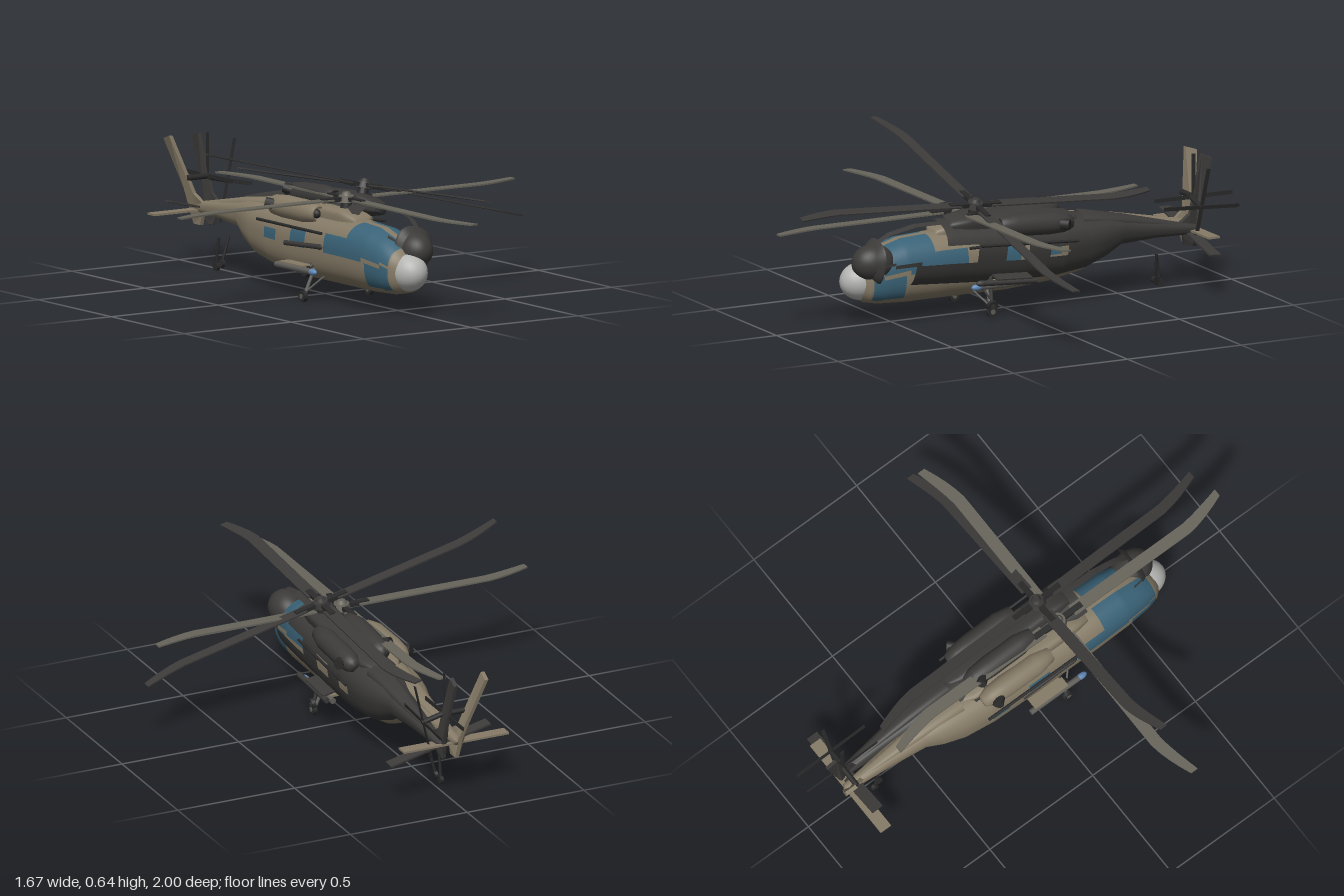
import * as THREE from 'three';

const mat = (name, color) => Object.assign(new THREE.MeshStandardMaterial({ color }), { name });

const mirror = [1, -1];

function add(group, name, geometry, material, x = 0, y = 0, z = 0) {
  const mesh = new THREE.Mesh(geometry, material);
  mesh.name = name;
  mesh.position.set(x, y, z);
  group.add(mesh);
  return mesh;
}

// Round bar between two points
function bar(group, name, a, b, radius, material) {
  const A = new THREE.Vector3(...a), B = new THREE.Vector3(...b), d = B.clone().sub(A);
  const mesh = add(group, name, new THREE.CylinderGeometry(radius, radius, d.length(), 10), material);
  mesh.position.copy(A).lerp(B, 0.5);
  mesh.quaternion.setFromUnitVectors(new THREE.Vector3(0, 1, 0), d.normalize());
  return mesh;
}

// Skin over sections [z, bottom, top, halfWidth], front to back.
// pick(x, y, z) gives the material index of a face, or -1 for an opening.
function loft(sections, cuts, pick, power = 2.5, n = 72) {
  const zs = [...new Set([...sections.map(s => s[0]), ...cuts])].sort((a, b) => b - a);
  const pos = [], faces = [[], []];
  for (const z of zs) {
    let k = 0;
    while (k < sections.length - 2 && z < sections[k + 1][0]) k++;
    const [a, b] = [sections[k], sections[k + 1]];
    const t = (z - a[0]) / (b[0] - a[0]);
    const [lo, hi, w] = [1, 2, 3].map(i => a[i] + (b[i] - a[i]) * t);
    for (let j = 0; j < n; j++) {
      const c = Math.cos(j / n * 2 * Math.PI), s = Math.sin(j / n * 2 * Math.PI);
      pos.push(w * Math.sign(c) * Math.abs(c) ** (2 / power),
        (lo + hi) / 2 + (hi - lo) / 2 * Math.sign(s) * Math.abs(s) ** (2 / power), z);
    }
  }
  for (let i = 0; i < zs.length - 1; i++) {
    for (let j = 0; j < n; j++) {
      const a = i * n + j, b = i * n + (j + 1) % n, c = a + n, d = b + n;
      const mid = k => (pos[a * 3 + k] + pos[b * 3 + k] + pos[c * 3 + k] + pos[d * 3 + k]) / 4;
      const m = pick ? pick(mid(0), mid(1), mid(2)) : 0;
      if (m >= 0) faces[m].push(a, c, b, b, c, d);
    }
  }
  const g = new THREE.BufferGeometry();
  g.setAttribute('position', new THREE.Float32BufferAttribute(pos, 3));
  g.setIndex([...faces[0], ...faces[1]]);
  g.addGroup(0, faces[0].length, 0);
  g.addGroup(faces[0].length, faces[1].length, 1);
  g.computeVertexNormals();
  return g;
}

const hull = [
  [0.645, 0.14, 0.2, 0.03], [0.64, 0.11, 0.22, 0.06], [0.61, 0.085, 0.255, 0.085],
  [0.56, 0.075, 0.29, 0.1], [0.45, 0.07, 0.322, 0.112], [0.3, 0.07, 0.33, 0.116],
  [0, 0.07, 0.33, 0.116], [-0.2, 0.085, 0.33, 0.114], [-0.33, 0.11, 0.325, 0.102],
  [-0.42, 0.15, 0.318, 0.08], [-0.49, 0.195, 0.305, 0.055], [-0.65, 0.21, 0.28, 0.036],
  [-0.84, 0.215, 0.252, 0.018], [-0.85, 0.23, 0.235, 0.002]];
const windowCuts = [0.6, 0.52, 0.47, 0.34, 0.2, 0.07, -0.03, -0.13, -0.21];

// Windscreen, chin panes and cabin windows
function isWindow(x, y, z) {
  const inside = (v, a, b) => v > a && v < b;
  if (inside(z, 0.34, 0.6)) {
    if (y > 0.205 && Math.abs(x) > 0.014) return true;
    if (z > 0.47 && inside(y, 0.1, 0.185) && Math.abs(x) > 0.04) return true;
  }
  return (inside(z, 0.2, 0.34) && inside(y, 0.205, 0.275))
    || (inside(z, -0.03, 0.07) && inside(y, 0.205, 0.265))
    || (inside(z, -0.21, -0.13) && inside(y, 0.2, 0.25));
}

// Main blade along +x with a swept tip
function bladeGeometry() {
  const g = new THREE.BoxGeometry(0.74, 0.006, 0.048, 16, 1, 1).translate(0.44, 0, 0);
  const p = g.attributes.position;
  for (let i = 0; i < p.count; i++) {
    const t = Math.max(0, (p.getX(i) - 0.62) / 0.19);
    p.setZ(i, p.getZ(i) * (1 - 0.35 * t * t) - 0.045 * t ** 1.4);
  }
  g.computeVertexNormals();
  return g;
}

// Fin with its upper part leaning to -x
function finGeometry() {
  const outline = [[-0.76, 0.25], [-0.79, 0.2], [-0.8, 0.165], [-0.845, 0.165], [-0.86, 0.25],
    [-0.912, 0.5], [-0.865, 0.515], [-0.815, 0.29]];
  const shape = new THREE.Shape(outline.map(([z, y]) => new THREE.Vector2(-z, y)));
  const g = new THREE.ExtrudeGeometry(shape, { depth: 0.016, bevelEnabled: false });
  g.translate(0, 0, -0.008).rotateY(Math.PI / 2);
  const p = g.attributes.position;
  for (let i = 0; i < p.count; i++) p.setX(i, p.getX(i) - 0.34 * Math.max(0, p.getY(i) - 0.22));
  g.computeVertexNormals();
  return g;
}

function helicopter(name, m) {
  const h = new THREE.Group();
  h.name = name;

  // Fuselage, with glass or open windows
  const opening = m.glass ? 1 : -1;
  const skin = loft(hull, windowCuts, (x, y, z) => isWindow(x, y, z) ? opening : 0);
  add(h, 'fuselage', skin, [m.body, m.glass || m.body]);
  add(h, 'noseCone', new THREE.SphereGeometry(1, 32, 20), m.nose, 0, 0.168, 0.61).scale.set(0.072, 0.075, 0.09);
  add(h, 'roofFairing', loft([[0.31, 0.3, 0.31, 0.01], [0.3, 0.29, 0.345, 0.05], [0.22, 0.28, 0.365, 0.06],
    [-0.05, 0.28, 0.365, 0.06], [-0.24, 0.29, 0.345, 0.045], [-0.3, 0.3, 0.32, 0.01]], [], null, 4), m.body);
  add(h, 'tailFairing', loft([[-0.29, 0.28, 0.31, 0.01], [-0.3, 0.27, 0.343, 0.05], [-0.5, 0.25, 0.315, 0.035],
    [-0.8, 0.22, 0.258, 0.012]], [], null, 3), m.body);

  // Engines
  const pod = new THREE.LatheGeometry([[0, -0.23], [0.026, -0.225], [0.04, -0.19], [0.046, -0.12], [0.046, 0.03],
    [0.038, 0.07], [0.032, 0.1], [0.024, 0.1], [0.02, 0.07], [0, 0.07]]
    .map(([r, y]) => new THREE.Vector2(r, y)), 28).rotateX(Math.PI / 2);
  for (const s of mirror) {
    add(h, 'enginePod', pod, m.body, s * 0.066, 0.332, 0);
    add(h, 'intakePlug', new THREE.SphereGeometry(0.018, 16, 10), m.dark, s * 0.066, 0.332, 0.085);
    bar(h, 'exhaust', [s * 0.08, 0.335, -0.15], [s * 0.118, 0.345, -0.19], 0.022, m.dark);
  }

  // Main rotor
  const rotor = new THREE.Group();
  rotor.name = 'mainRotor';
  rotor.position.set(0, 0.4, 0.19);
  h.add(rotor);
  add(rotor, 'mast', new THREE.CylinderGeometry(0.018, 0.028, 0.06, 20), m.dark, 0, -0.03, 0);
  add(rotor, 'hub', new THREE.CylinderGeometry(0.03, 0.036, 0.026, 24), m.blade);
  add(rotor, 'hubCap', new THREE.CylinderGeometry(0.014, 0.022, 0.014, 20), m.blade, 0, 0.019, 0);
  const blade = bladeGeometry();
  for (let i = 0; i < 4; i++) {
    const arm = new THREE.Group();
    arm.name = 'rotorArm';
    arm.rotation.y = i * Math.PI / 2;
    rotor.add(arm);
    add(arm, 'blade', blade, m.blade);
    add(arm, 'bladeGrip', new THREE.BoxGeometry(0.09, 0.016, 0.024), m.dark, 0.07, 0, 0);
  }

  // Tail
  add(h, 'tailFin', finGeometry(), m.body);
  add(h, 'stabilizer', new THREE.BoxGeometry(0.45, 0.008, 0.05), m.body, 0, 0.224, -0.818);
  bar(h, 'tailRotorShaft', [-0.05, 0.35, -0.825], [0.05, 0.35, -0.825], 0.011, m.dark);
  for (let i = 0; i < 4; i++) {
    const arm = add(h, 'tailRotorBlade', new THREE.BoxGeometry(0.004, 0.16, 0.016).translate(0, 0.09, 0),
      m.dark, 0.044, 0.35, -0.825);
    arm.rotation.x = i * Math.PI / 2;
  }

  // Side stores, rails and main wheels
  const wheel = new THREE.CylinderGeometry(0.022, 0.022, 0.016, 24).rotateZ(Math.PI / 2);
  for (const s of mirror) {
    add(h, 'storePylon', new THREE.BoxGeometry(0.07, 0.008, 0.16), m.body, s * 0.125, 0.137, 0.04);
    bar(h, 'storeTube', [s * 0.155, 0.125, 0.18], [s * 0.155, 0.125, -0.06], 0.012, m.metal);
    add(h, 'storeNose', new THREE.SphereGeometry(0.013, 16, 10), m.lens, s * 0.155, 0.125, 0.185).scale.z = 2;
    bar(h, 'sideRail', [s * 0.124, 0.275, 0.2], [s * 0.124, 0.275, -0.24], 0.006, m.dark);
    bar(h, 'gearLeg', [s * 0.1, 0.13, 0.12], [s * 0.148, 0.025, 0.12], 0.007, m.metal);
    bar(h, 'gearBrace', [s * 0.09, 0.1, 0.17], [s * 0.14, 0.04, 0.12], 0.004, m.metal);
    add(h, 'mainWheel', wheel, m.dark, s * 0.155, 0.022, 0.12);
    add(h, 'wheelHub', new THREE.CylinderGeometry(0.01, 0.01, 0.02, 16).rotateZ(Math.PI / 2), m.metal,
      s * 0.155, 0.022, 0.12);
  }

  // Tail wheel
  bar(h, 'tailWheelLeg', [0, 0.13, -0.685], [0, 0.02, -0.7], 0.006, m.dark);
  add(h, 'tailWheel', new THREE.CylinderGeometry(0.016, 0.016, 0.014, 20).rotateZ(Math.PI / 2), m.dark, 0, 0.016, -0.7);
  return h;
}

export function createModel() {
  const tan = mat('tan paint', 0x857a66), charcoal = mat('charcoal paint', 0x3c3b3a);
  const black = mat('black rubber', 0x2a2a2a), metal = mat('grey metal', 0x5f5e5a);
  const lens = mat('blue lens', 0x5f86b4);

  const model = new THREE.Group();
  model.name = 'twinHelicopters';

  // Level tan aircraft
  const level = helicopter('tanHelicopter', {
    body: tan, glass: mat('teal glass', 0x3a6378), nose: mat('pale radome', 0xb4b4b2),
    blade: mat('olive blade', 0x66645a), dark: black, metal, lens });
  level.position.set(-0.03, 0, 0);

  // Banked charcoal shell around it, with open windows
  const banked = helicopter('charcoalHelicopter', {
    body: charcoal, glass: null, nose: charcoal, blade: charcoal, dark: black, metal: charcoal, lens: charcoal });
  banked.position.set(-0.024, 0.054, 0.003);
  banked.rotation.set(-0.058, 0, -0.245);
  banked.scale.setScalar(0.97);

  model.add(level, banked);
  return model;
}
